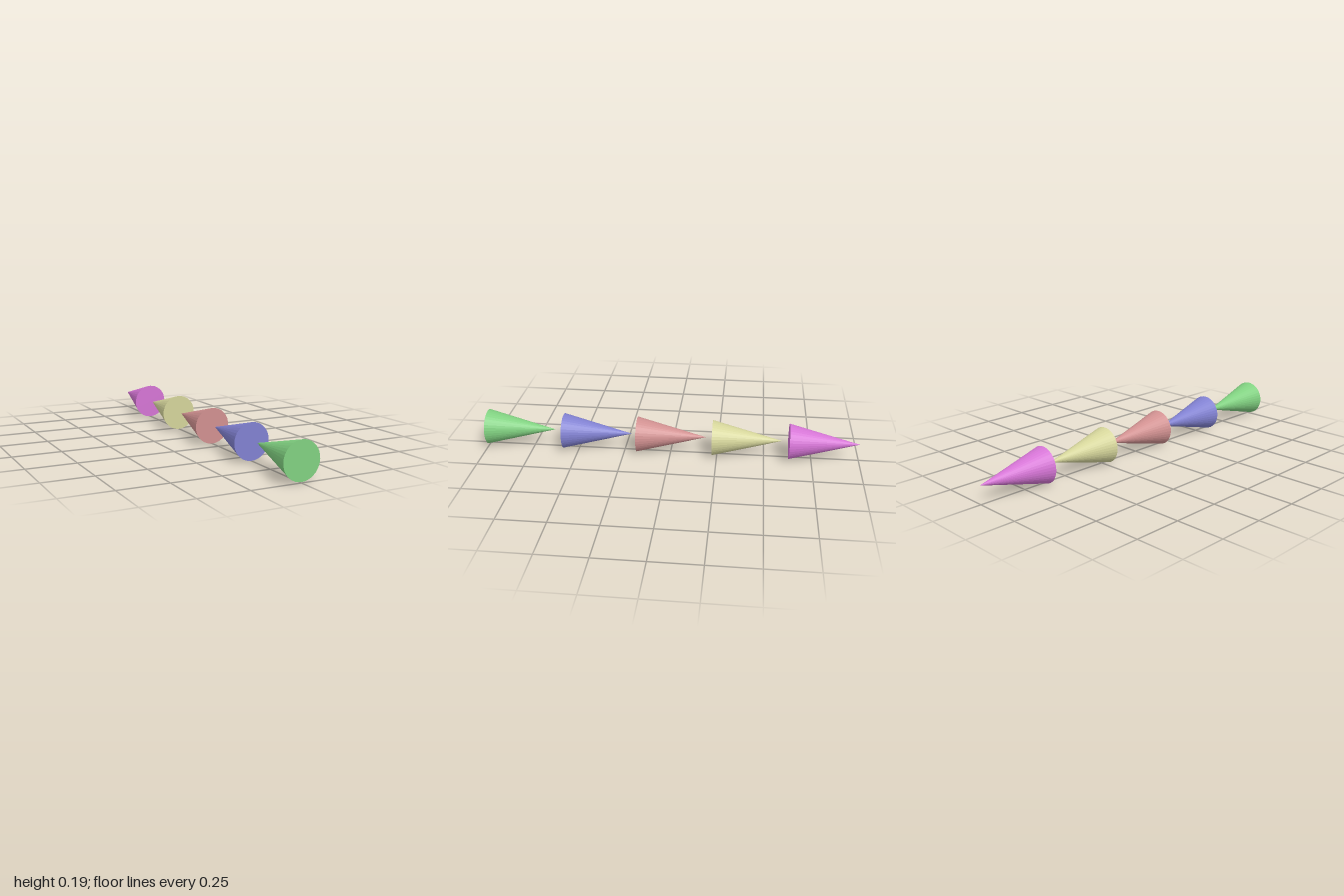
import * as THREE from 'three';

const RADIUS = 0.094;
const LENGTH = 0.37;

// One row of cones along z: flat base to the front, tip to the back
const CONES = [
  { name: 'greenCone', color: 0x80d080, baseZ: 1.0, y: 0.1 },
  { name: 'blueCone', color: 0x8080d0, baseZ: 0.581, y: 0.096 },
  { name: 'redCone', color: 0xd09090, baseZ: 0.18, y: 0.096 },
  { name: 'yellowCone', color: 0xd4d49a, baseZ: -0.224, y: 0.096 },
  { name: 'magentaCone', color: 0xd474d4, baseZ: -0.63, y: 0.096 },
];

export function createModel() {
  const group = new THREE.Group();
  group.name = 'coneRow';

  // Shared faceted cone with its base centre at the origin and its tip at -z
  const geometry = new THREE.ConeGeometry(RADIUS, LENGTH, 36);
  geometry.translate(0, LENGTH / 2, 0);
  geometry.rotateX(-Math.PI / 2);

  for (const { name, color, baseZ, y } of CONES) {
    const material = new THREE.MeshStandardMaterial({ color, flatShading: true });
    const cone = new THREE.Mesh(geometry, material);
    cone.name = name;
    cone.position.set(0, y, baseZ);
    group.add(cone);
  }
  return group;
}
